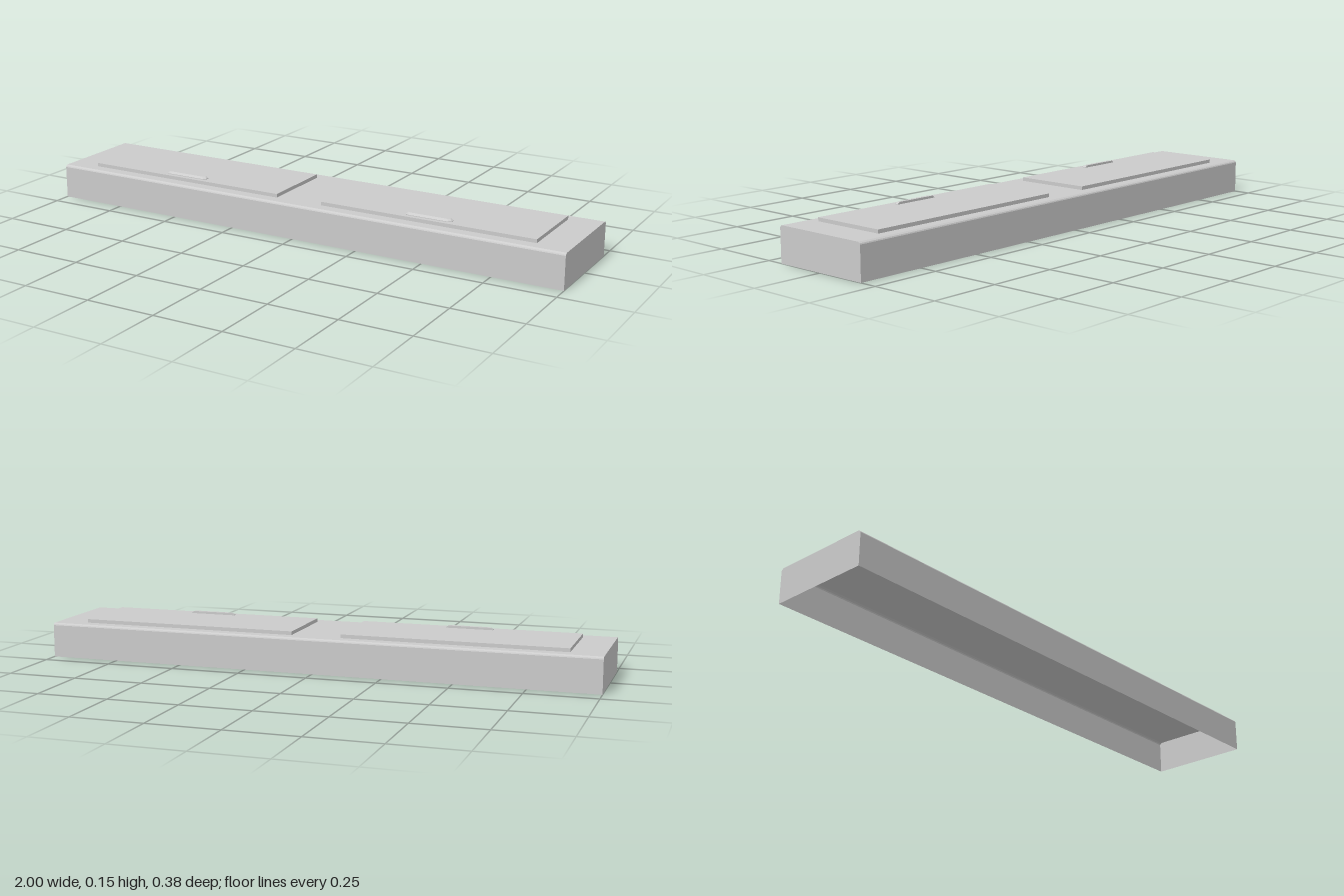
import * as THREE from 'three';

const material = new THREE.MeshStandardMaterial({ color: 0xcccccc, flatShading: true, side: THREE.DoubleSide });

const BASE_TOP = 0.125;
const PANEL_TOP = 0.138;
const PANEL_X = 0.487;

function part(name, geometry, x = 0, y = 0, z = 0) {
  const mesh = new THREE.Mesh(geometry, material);
  mesh.name = name;
  mesh.position.set(x, y, z);
  return mesh;
}

// Long shell with chamfered front and back top edges, open underneath
function shellGeometry() {
  const d = 0.1875;
  const profile = [[-d, 0], [d, 0], [d, 0.117], [0.1855, 0.121], [0.179, BASE_TOP],
    [-0.179, BASE_TOP], [-0.1855, 0.121], [-d, 0.117]];
  const shape = new THREE.Shape(profile.map(([z, y]) => new THREE.Vector2(z, y)));
  const solid = new THREE.ExtrudeGeometry(shape, { depth: 2, bevelEnabled: false });
  solid.translate(0, 0, -1).rotateY(Math.PI / 2);
  const p = solid.attributes.position;
  const kept = [];
  for (let i = 0; i < p.count; i += 3) {
    const isFloor = [0, 1, 2].every((k) => p.getY(i + k) < 1e-5);
    if (isFloor) continue;
    for (let k = 0; k < 3; k++) kept.push(p.getX(i + k), p.getY(i + k), p.getZ(i + k));
  }
  const shell = new THREE.BufferGeometry();
  shell.setAttribute('position', new THREE.Float32BufferAttribute(kept, 3));
  shell.computeVertexNormals();
  return shell;
}

// Finger grip: straight back, cut front corners, tapering towards the top
function gripGeometry() {
  const w = 0.085, depth = 0.022, cut = 0.009;
  const outline = [[-w, 0], [-w, -depth + cut], [-w + cut, -depth],
    [w - cut, -depth], [w, -depth + cut], [w, 0]];
  const shape = new THREE.Shape(outline.map(([x, y]) => new THREE.Vector2(x, y)));
  const grip = new THREE.ExtrudeGeometry(shape, { depth: 0.008, steps: 4, bevelEnabled: false });
  grip.rotateX(-Math.PI / 2);
  const p = grip.attributes.position;
  for (let i = 0; i < p.count; i++) {
    const t = Math.max(0, (p.getY(i) - 0.002) / 0.006);
    p.setX(i, p.getX(i) * (1 - 0.1 * t));
    p.setZ(i, p.getZ(i) * (1 - 0.4 * t));
  }
  grip.computeVertexNormals();
  return grip;
}

// Flat inlay lying just above a surface
function inlay(name, width, depth, x, y) {
  return part(name, new THREE.PlaneGeometry(width, depth).rotateX(-Math.PI / 2), x, y + 0.0003, 0);
}

export function createModel() {
  const model = new THREE.Group();
  model.name = 'twoLidCase';
  model.add(part('shell', shellGeometry()));

  // Two raised lids, each with a grip near the front
  const lidHeight = PANEL_TOP - BASE_TOP;
  const lid = new THREE.BoxGeometry(0.795, lidHeight, 0.281);
  const grip = gripGeometry();
  for (const [side, s] of [['left', 1], ['right', -1]]) {
    model.add(part(side + 'Lid', lid, s * PANEL_X, BASE_TOP + lidHeight / 2, 0));
    model.add(part(side + 'Grip', grip, s * 0.49, PANEL_TOP, 0.103));
  }

  // Flush inlays on the lids and between them
  model.add(inlay('leftInlay', 0.22, 0.14, PANEL_X, PANEL_TOP));
  model.add(inlay('rightInlay', 0.2, 0.045, -PANEL_X, PANEL_TOP));
  model.add(inlay('centreInlay', 0.175, 0.27, 0, BASE_TOP));
  return model;
}
